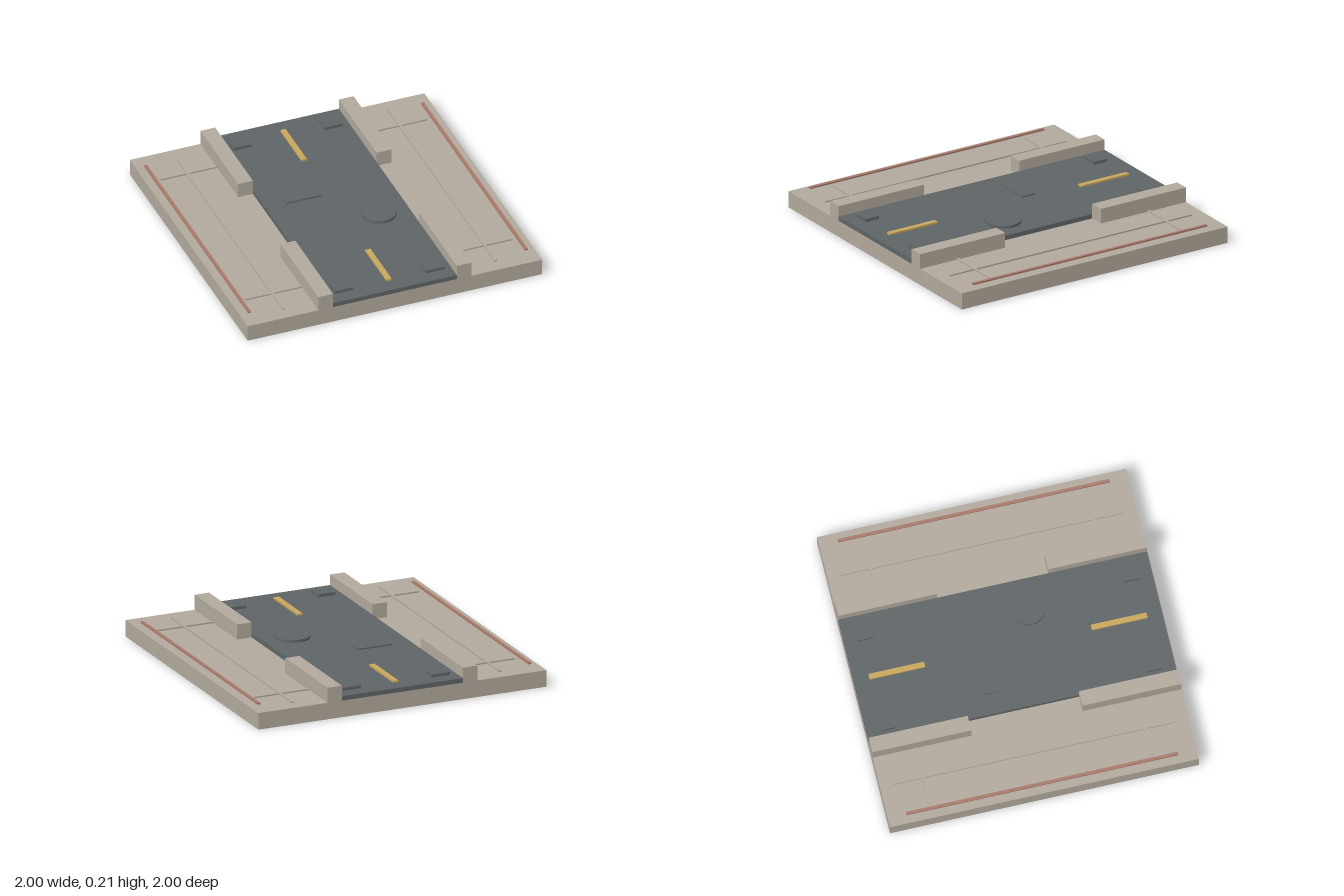
import * as THREE from 'three';

export function createModel() {
  const model = new THREE.Group();
  model.name = 'roadTile';

  const mat = (name, color) => {
    const m = new THREE.MeshStandardMaterial({ color });
    m.name = name;
    return m;
  };
  const stone = mat('warm stone', 0xb2a99c);
  const asphalt = mat('dark asphalt', 0x5f6566);
  const yellow = mat('lane yellow', 0xc8a75c);
  const rust = mat('rust red', 0xa8796a);

  const add = (name, geometry, material, x, y, z) => {
    const mesh = new THREE.Mesh(geometry, material);
    mesh.name = name;
    mesh.position.set(x, y, z);
    model.add(mesh);
  };
  // Box given by its centre in plan, its footprint and its bottom and top heights
  const slab = (name, material, x, z, w, d, y0, y1) =>
    add(name, new THREE.BoxGeometry(w, y1 - y0, d), material, x, (y0 + y1) / 2, z);

  const ground = 0.11;
  const road = 0.14;

  // Base and raised roadway
  slab('base', stone, 0, 0, 2, 2, 0, ground);
  slab('roadway', asphalt, 0, 0, 0.84, 2, ground, road);

  for (const sz of [-1, 1]) {
    // Lane dashes
    slab('laneDash', yellow, 0, sz * 0.72, 0.036, 0.36, road, 0.152);
    for (const sx of [-1, 1]) {
      // Kerb walls, corner plates and crosswise pavement seams
      slab('kerb', stone, sx * 0.47, sz * 0.68, 0.1, 0.64, ground, 0.21);
      slab('cornerPlate', asphalt, sx * 0.31, sz * 0.86, 0.124, 0.1, road, 0.16);
      slab('crossSeam', stone, sx * 0.713, sz * 0.72, 0.386, 0.016, ground, 0.12);
    }
  }

  for (const sx of [-1, 1]) {
    // Lengthwise pavement seams and thin edge rails held just above the pavement
    slab('longSeam', stone, sx * 0.72, 0, 0.016, 1.82, ground, 0.12);
    slab('edgeRail', rust, sx * 0.94, 0, 0.02, 1.76, 0.121, 0.132);
  }

  // Road patch and round cover
  slab('roadPatch', asphalt, -0.163, -0.182, 0.24, 0.096, road, 0.15);
  add('roundCover', new THREE.CylinderGeometry(0.114, 0.114, 0.018, 32), asphalt, 0.219, 0.149, 0.178);

  return model;
}
